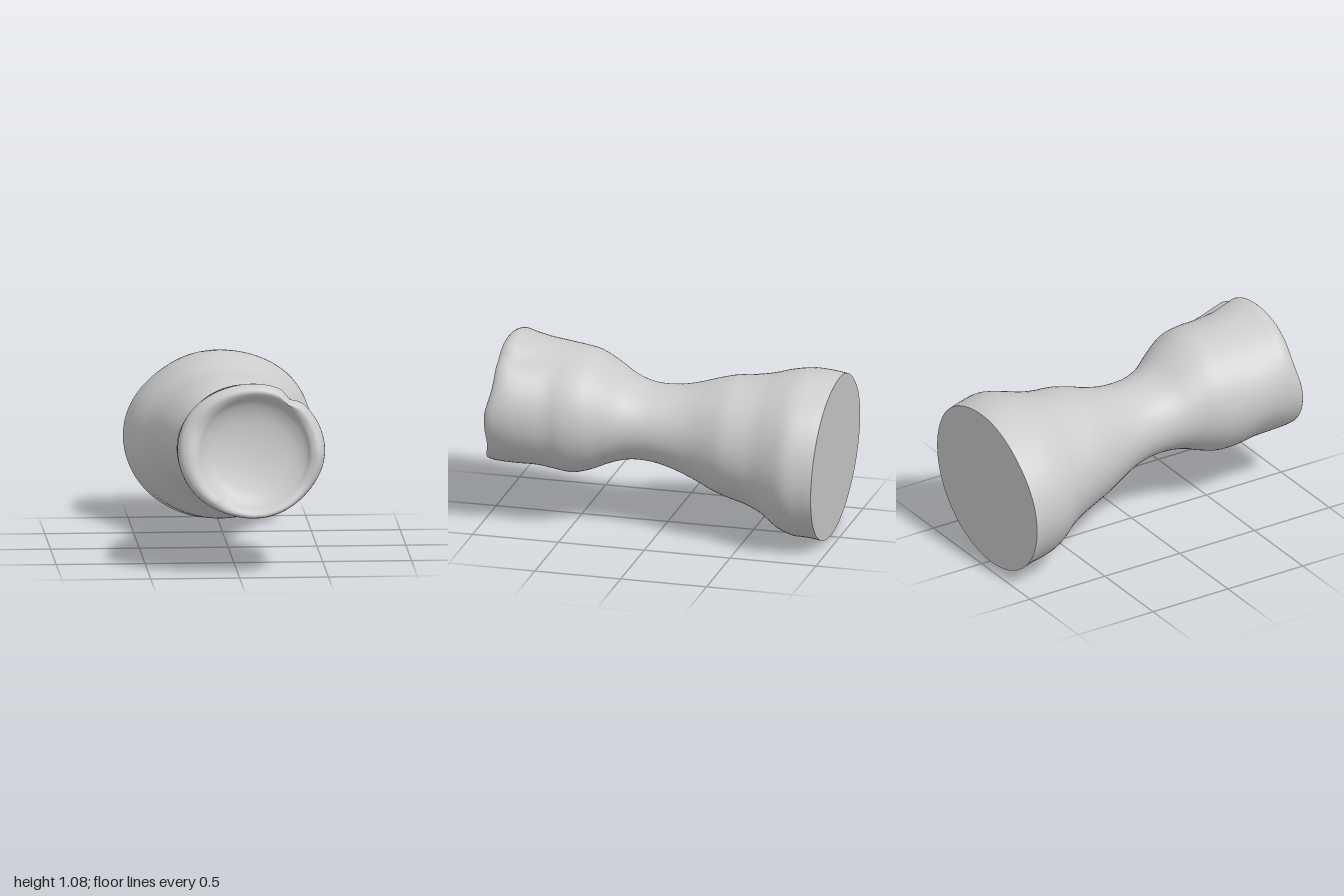
import * as THREE from 'three';

// Lofts oval rings. Station: [z, tilt dz/dy, xMin, xMax, yMin, yMax]
function loft(stations, steps, sides, dent) {
  const xs = new THREE.CatmullRomCurve3(stations.map(s => new THREE.Vector3(s[2], s[3], s[0])), false, 'catmullrom', 0.5);
  const ys = new THREE.CatmullRomCurve3(stations.map(s => new THREE.Vector3(s[4], s[5], s[1])), false, 'catmullrom', 0.5);
  const rows = (stations.length - 1) * steps;
  const pos = [], index = [];
  for (let i = 0; i <= rows; i++) {
    const a = xs.getPoint(i / rows), b = ys.getPoint(i / rows);
    const cx = (a.x + a.y) / 2, cy = (b.x + b.y) / 2;
    for (let j = 0; j < sides; j++) {
      const t = (j / sides) * Math.PI * 2;
      const [scale, dz] = dent(t, i / steps, a.z);
      const y = Math.sin(t) * (b.y - b.x) / 2 * scale;
      pos.push(cx + Math.cos(t) * (a.y - a.x) / 2 * scale, cy + y, a.z + b.z * y + dz);
      if (i < rows) {
        const k = (j + 1) % sides, p = i * sides, q = p + sides;
        index.push(p + j, p + k, q + j, p + k, q + k, q + j);
      }
    }
  }
  const g = new THREE.BufferGeometry();
  g.setAttribute('position', new THREE.Float32BufferAttribute(pos, 3));
  g.setIndex(index);
  g.computeVertexNormals();
  return g;
}

export function createModel() {
  const group = new THREE.Group();
  const material = new THREE.MeshStandardMaterial({ color: 0xcccccc });
  const add = (name, geometry) => {
    const mesh = new THREE.Mesh(geometry, material);
    mesh.name = name;
    group.add(mesh);
  };

  const base = [-0.9725, -0.058, -0.53, 0.503, 0, 0.95];
  // Flared foot, waist and cup wall, from back to front
  const outer = [
    base,
    [-0.9, -0.05, -0.522, 0.515, 0.015, 0.965],
    [-0.8, -0.03, -0.508, 0.526, 0.025, 0.975],
    [-0.7, 0, -0.475, 0.485, 0.055, 0.955],
    [-0.6, 0, -0.425, 0.44, 0.13, 0.927],
    [-0.5, 0, -0.387, 0.42, 0.18, 0.91],
    [-0.4, 0, -0.35, 0.4, 0.21, 0.903],
    [-0.3, 0, -0.31, 0.36, 0.243, 0.88],
    [-0.2, 0, -0.27, 0.322, 0.29, 0.85],
    [-0.1, 0, -0.235, 0.302, 0.335, 0.828],
    [0, 0, -0.217, 0.295, 0.37, 0.82],
    [0.1, 0, -0.218, 0.3, 0.387, 0.828],
    [0.2, 0, -0.235, 0.325, 0.385, 0.865],
    [0.3, 0, -0.26, 0.378, 0.36, 0.937],
    [0.4, 0, -0.29, 0.432, 0.32, 0.995],
    [0.5, 0, -0.31, 0.452, 0.293, 1.015],
    [0.6, 0, -0.325, 0.447, 0.302, 1.025],
    [0.7, -0.01, -0.335, 0.467, 0.322, 1.04],
    [0.8, -0.04, -0.34, 0.485, 0.325, 1.063],
    [0.88, -0.09, -0.34, 0.487, 0.328, 1.08],
    [0.93, -0.12, -0.325, 0.475, 0.335, 1.07],
  ];
  // Rolled lip, then down into a shallow bowl
  const inner = [
    [0.953, -0.13, -0.28, 0.445, 0.35, 1.045],
    [0.938, -0.14, -0.232, 0.408, 0.378, 1.015],
    [0.9, -0.16, -0.2, 0.385, 0.405, 0.975],
    [0.868, -0.17, -0.155, 0.34, 0.455, 0.91],
    [0.848, -0.17, -0.08, 0.265, 0.535, 0.84],
    [0.838, -0.17, 0.01, 0.175, 0.61, 0.76],
    [0.835, -0.17, 0.09, 0.09, 0.685, 0.685],
  ];
  const bump = (v, centre, width) => Math.exp(-(((v - centre) / width) ** 2));
  const rise = THREE.MathUtils.smoothstep;
  // Uneven foot, fuller on its upper left than on its upper right
  const skew = (t, z) => 1 + (0.025 * bump(t, 0.8, 0.45) - 0.03 * bump(t, 2.3, 0.45)) * (1 - rise(z, -0.8, -0.3));
  // Groove on the upper left, nick in the lower lip, hollow low on the right, sagging rim
  const dent = (t, station, z) => {
    const lip = outer.length;
    const groove = bump(t, 0.97, 0.11) * rise(z, 0.6, 0.82) * (1 - rise(station, lip - 0.5, lip + 1));
    const nick = bump(t, 4.2, 0.09) * bump(station, lip + 0.8, 1.1);
    const hollow = bump(t, 3.75, 0.25) * bump(z, 0.75, 0.09) * (1 - rise(station, lip - 1, lip));
    const ripple = 0.005 * Math.sin(5 * t + 9 * z) * rise(z, 0.3, 0.7);
    const sag = (0.02 * bump(Math.sin(t), 0.45, 0.35) + 0.03 * bump(t, 5.7, 0.4))
      * rise(z, 0.75, 0.93) * (1 - rise(station, lip, lip + 3));
    return [skew(t, z) - 0.075 * groove - 0.07 * nick - 0.025 * hollow + ripple, -0.03 * nick - sag];
  };
  add('body', loft([...outer, ...inner], 4, 72, dent));

  // Flat underside of the foot
  const centre = [-0.9725, -0.058, -0.0135, -0.0135, 0.475, 0.475];
  add('baseCap', loft([centre, base], 1, 72, (t, station, z) => [skew(t, z), 0]));
  return group;
}
